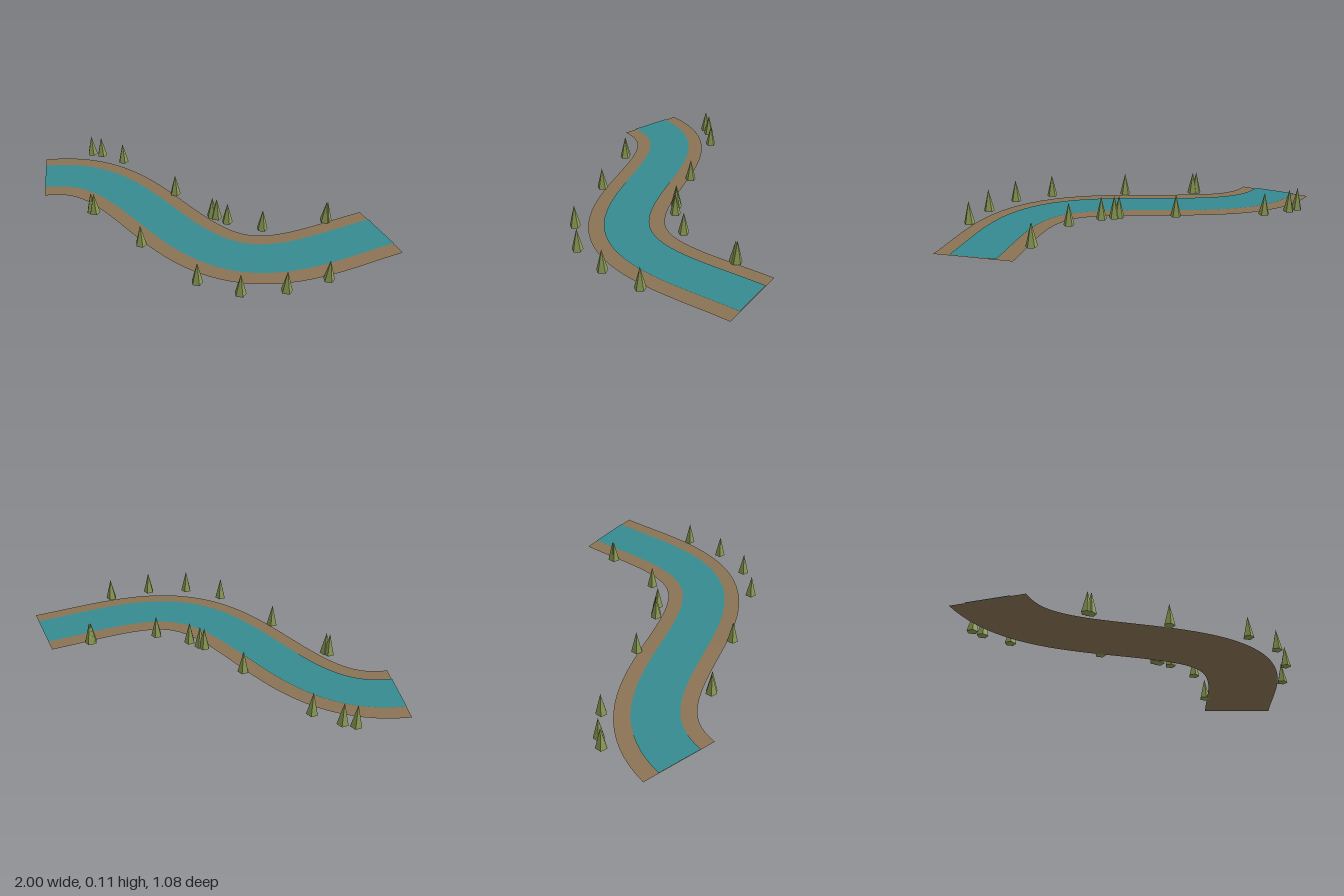
import * as THREE from 'three';

const START = -0.937, END = 0.884, STEPS = 48;

// Winding centreline of the river: z as a function of x
const bend = (x) => -0.255 * Math.cos(Math.PI * (x + 0.755) / 1.005);

// Flat ribbon of constant width following the centreline
function ribbon(halfWidth, y) {
  const positions = [], index = [];
  for (let i = 0; i <= STEPS; i++) {
    const x = START + (END - START) * i / STEPS;
    const a = Math.max(START, x - 0.053), b = Math.min(END, x + 0.053);
    const slope = (bend(b) - bend(a)) / (b - a);
    const k = halfWidth / Math.hypot(1, slope);
    for (const side of [-1, 1]) {
      positions.push(x - side * slope * k, y, bend(x) + side * k);
    }
    if (i < STEPS) {
      const n = i * 2;
      index.push(n, n + 1, n + 2, n + 1, n + 3, n + 2);
    }
  }
  const g = new THREE.BufferGeometry();
  g.setAttribute('position', new THREE.Float32BufferAttribute(positions, 3));
  g.setIndex(index);
  g.computeVertexNormals();
  return g;
}

export function createModel() {
  const model = new THREE.Group();
  model.name = 'riverWithTrees';

  const bankMat = new THREE.MeshStandardMaterial({ color: 0x8b7355, side: THREE.DoubleSide });
  bankMat.name = 'earthBrown';
  const waterMat = new THREE.MeshStandardMaterial({ color: 0x358a91, side: THREE.DoubleSide });
  waterMat.name = 'waterTeal';
  const treeMat = new THREE.MeshStandardMaterial({ color: 0x8b9a55, flatShading: true });
  treeMat.name = 'treeOlive';

  // Earth bank with the narrower water surface just above it
  const bank = new THREE.Mesh(ribbon(0.186, 0), bankMat);
  bank.name = 'riverBank';
  const water = new THREE.Mesh(ribbon(0.11, 0.004), waterMat);
  water.name = 'water';
  model.add(bank, water);

  // Five-sided conifers along both banks, as [x, z]
  const spots = [
    [-0.767, -0.51], [-0.708, -0.507], [-0.568, -0.466], [-0.2, -0.211],
    [0.035, -0.05], [0.059, -0.042], [0.12, -0.016], [0.302, 0.004],
    [0.603, -0.135], [0.609, -0.141],
    [-0.58, 0.042], [-0.562, 0.05], [-0.254, 0.26], [0.078, 0.481],
    [0.286, 0.516], [0.487, 0.45], [0.666, 0.328],
  ];
  const cone = new THREE.ConeGeometry(0.028, 0.113, 5);
  cone.rotateY(Math.PI);
  cone.translate(0, 0.0565, 0);
  const trees = new THREE.Group();
  trees.name = 'trees';
  for (const [x, z] of spots) {
    const tree = new THREE.Mesh(cone, treeMat);
    tree.name = 'tree';
    tree.position.set(x, 0, z);
    trees.add(tree);
  }
  model.add(trees);
  return model;
}
